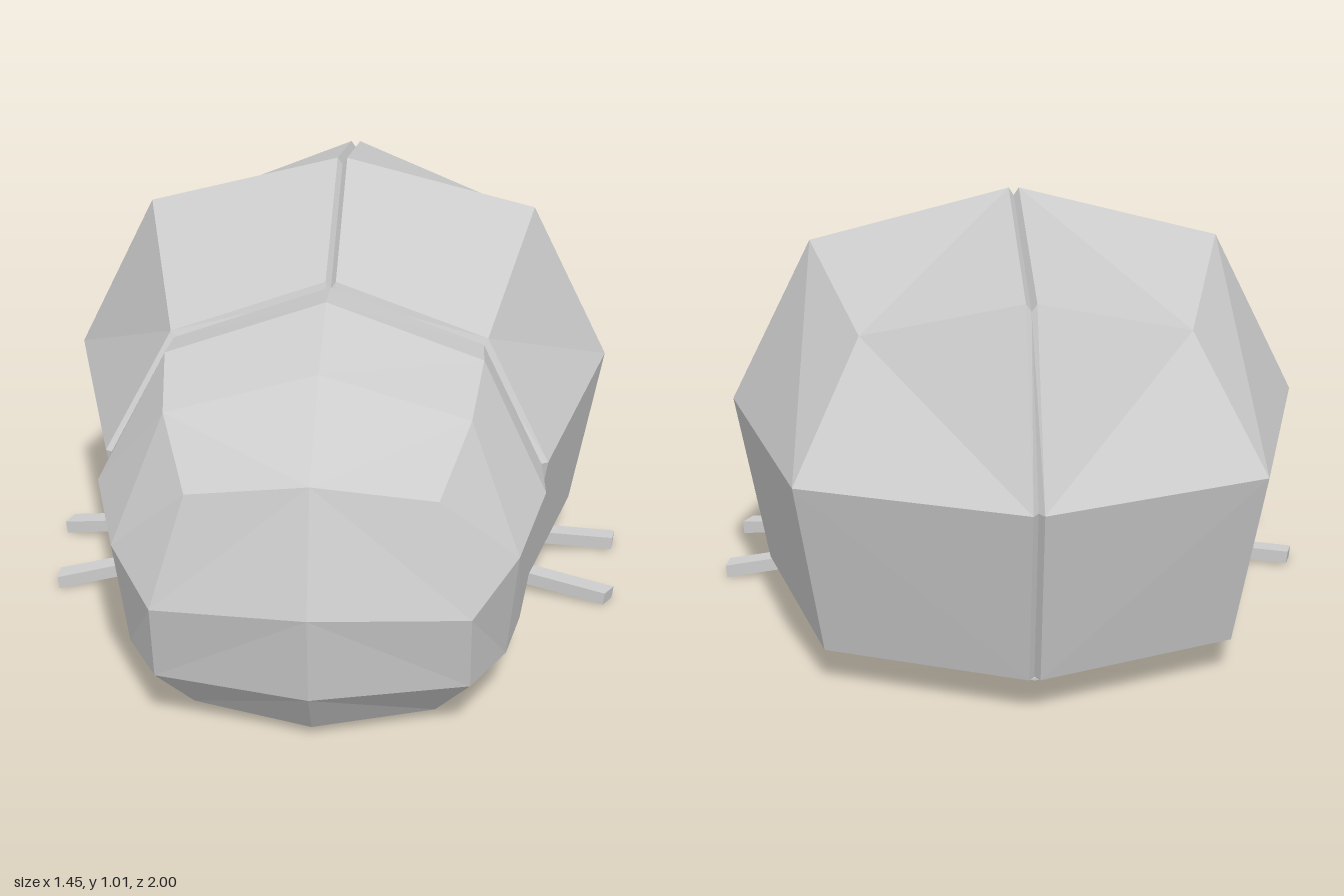
import * as THREE from 'three';

const material = new THREE.MeshStandardMaterial({ color: 0xcccccc, flatShading: true, side: THREE.DoubleSide });

// Skin a grid of half cross-sections (x >= 0, listed back-ward) on one side; sign -1 mirrors it.
function skin(name, rows, sign) {
  const pos = [];
  const same = (a, b) => a.every((v, i) => Math.abs(v - b[i]) < 1e-6);
  const tri = (a, b, c) => {
    if (same(a, b) || same(b, c) || same(a, c)) return;
    for (const p of sign > 0 ? [a, b, c] : [a, c, b]) pos.push(p[0] * sign, p[1], p[2]);
  };
  for (let s = 0; s < rows.length - 1; s++) {
    for (let c = 0; c < rows[s].length - 1; c++) {
      const [a, b, d, e] = [rows[s][c], rows[s][c + 1], rows[s + 1][c + 1], rows[s + 1][c]];
      tri(a, b, d);
      tri(a, d, e);
    }
  }
  const geometry = new THREE.BufferGeometry();
  geometry.setAttribute('position', new THREE.Float32BufferAttribute(pos, 3));
  geometry.computeVertexNormals();
  const mesh = new THREE.Mesh(geometry, material);
  mesh.name = name;
  return mesh;
}

// Shrink a section towards the body axis and slide it along z
const inset = (row, k, dz) => row.map(([x, y, z]) => [x * k, 0.4 + (y - 0.4) * k, z + dz]);

// Wing case sections: ridge, shoulder, widest line, hem
const g = 0.012;
const caseFront = [[g, 0.84, 0.26], [0.37, 0.735, 0.33], [0.515, 0.475, 0.44], [0.46, 0.09, 0.38]];
const caseRows = [
  inset(caseFront, 0.93, 0.01),
  caseFront,
  [[g, 1.015, -0.17], [0.485, 0.895, -0.17], [0.68, 0.505, -0.17], [0.605, 0.09, -0.17]],
  [[g, 0.89, -0.765], [0.365, 0.785, -0.62], [0.51, 0.505, -0.805], [0.455, 0.09, -0.72]],
  [[g, 0.89, -0.765], [g, 0.89, -0.765], [g, 0.505, -1], [g, 0.09, -0.9]],
];

// Groove between the two wing cases, over the back and down the rear
const ridge = [...caseRows.slice(1, 4).map((r) => r[0]), caseRows[4][2], caseRows[4][3]];
const grooveRows = ridge.map(([x, y, z], i) => {
  const deep = i < 3 ? [0, y - 0.018, z] : [0, y, z + 0.018];
  return [deep, [x, y, z]];
});

// Underside: hem, bevelled edge, flat belly
const bellyRows = [
  [[0.46, 0.09, 0.38], [0.41, 0.03, 0.27], [0, 0.03, 0.25]],
  [[0.605, 0.09, -0.17], [0.51, 0.03, -0.17], [0, 0.03, -0.17]],
  [[0.455, 0.09, -0.72], [0.38, 0.03, -0.62], [0, 0.03, -0.62]],
  [[0, 0.09, -0.9], [0, 0.03, -0.77], [0, 0.03, -0.77]],
];

// Head sections: crown, brow, cheek, jaw, chin edge, chin centre
const headRear = [[0, 0.83, 0.27], [0.36, 0.725, 0.345], [0.5, 0.475, 0.455], [0.452, 0.09, 0.395],
  [0.41, 0.03, 0.285], [0, 0.025, 0.265]];
const headRows = [
  [[0, 0.62, 0.905], [0, 0.62, 0.905], [0, 0.355, 1], [0, 0.145, 0.97], [0, 0.025, 0.885], [0, 0.025, 0.885]],
  [[0, 0.62, 0.905], [0.27, 0.575, 0.865], [0.345, 0.325, 0.92], [0.345, 0.14, 0.88], [0.27, 0.028, 0.8], [0, 0.025, 0.8]],
  [[0, 0.765, 0.645], [0.335, 0.69, 0.7], [0.445, 0.41, 0.79], [0.425, 0.132, 0.72], [0.36, 0.028, 0.66], [0, 0.025, 0.66]],
  [[0, 0.845, 0.41], [0.36, 0.745, 0.49], [0.505, 0.475, 0.6], [0.46, 0.115, 0.53], [0.4, 0.028, 0.48], [0, 0.025, 0.48]],
  headRear,
  inset(headRear, 0.92, -0.04),
];

// Flat tapered leg between two points, with a chamfered foot
function leg(name, from, to) {
  const a = new THREE.Vector3(...from);
  const b = new THREE.Vector3(...to);
  const geometry = new THREE.BoxGeometry(0.032, 0.046, a.distanceTo(b));
  const p = geometry.attributes.position;
  for (let i = 0; i < p.count; i++) {
    if (p.getZ(i) > 0 && p.getY(i) > 0) p.setZ(i, p.getZ(i) - 0.012);
  }
  geometry.rotateZ(Math.PI / 2);
  const mesh = new THREE.Mesh(geometry, material);
  mesh.name = name;
  mesh.position.copy(a).lerp(b, 0.5);
  mesh.lookAt(b);
  return mesh;
}

export function createModel() {
  const model = new THREE.Group();
  model.name = 'beetle';
  for (const [side, sign] of [['left', 1], ['right', -1]]) {
    model.add(
      skin(side + 'WingCase', caseRows, sign),
      skin(side + 'WingCaseGroove', grooveRows, sign),
      skin(side + 'Belly', bellyRows, sign),
      skin(side + 'Head', headRows, sign),
      leg(side + 'FrontLeg', [0.4 * sign, 0.05, 0.15], [0.695 * sign, 0.017, 0.237]),
      leg(side + 'BackLeg', [0.42 * sign, 0.05, -0.04], [0.725 * sign, 0.018, -0.066]),
    );
  }
  return model;
}
